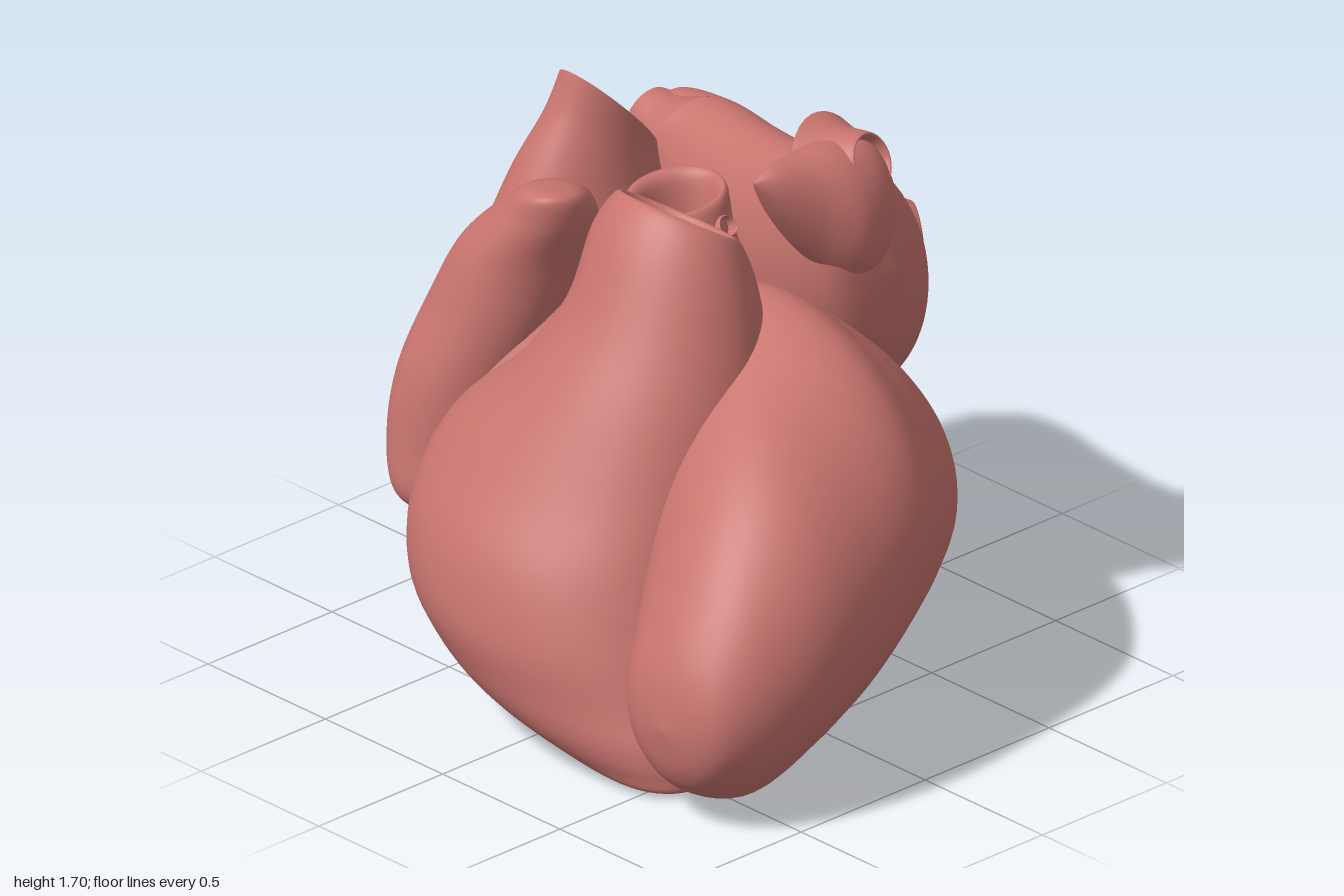
import * as THREE from 'three';
import { mergeVertices } from 'three/addons/utils/BufferGeometryUtils.js';

const muscle = new THREE.MeshStandardMaterial({ color: 0xc8746e, side: THREE.DoubleSide });

// Catmull-Rom blend of four rows of numbers
const blend = (p, q, r, s, u) => q.map((v, k) => {
  const d0 = (r[k] - p[k]) / 2, d1 = (s[k] - v) / 2;
  return v + d0 * u + (3 * (r[k] - v) - 2 * d0 - d1) * u * u + (2 * (v - r[k]) + d0 + d1) * u ** 3;
});

// Smooth skin over oval sections stacked along an axis.
// Row: [position, a0, a1, b0, b1, skew, tilt]; (a, b) is (x, z) for y, (y, z) for x, (x, y) for z.
function loft(name, axis, rows, steps = 7, sides = 64) {
  rows = rows.map((r) => [...r, 0, 0].slice(0, 7));
  const rings = [];
  for (let i = 0; i < rows.length - 1; i++)
    for (let j = 0; j < steps; j++)
      rings.push(blend(rows[Math.max(i - 1, 0)], rows[i], rows[i + 1], rows[Math.min(i + 2, rows.length - 1)], j / steps));
  rings.push(rows.at(-1));

  const pos = [], index = [];
  const flip = (axis === 'y') !== (rows.at(-1)[0] < rows[0][0]);
  rings.forEach(([t, a0, a1, b0, b1, skew, tilt], i) => {
    for (let j = 0; j < sides; j++) {
      const w = (j / sides) * Math.PI * 2;
      const da = Math.cos(w) * (a1 - a0) / 2;
      const db = Math.sin(w) * (b1 - b0) / 2 + skew * da;
      const a = (a0 + a1) / 2 + da, b = (b0 + b1) / 2 + db, c = t + tilt * db;
      pos.push(...(axis === 'y' ? [a, c, b] : axis === 'x' ? [c, a, b] : [a, b, c]));
      if (i === rings.length - 1) continue;
      const k = (j + 1) % sides, p = i * sides + j, q = i * sides + k;
      const quad = [p, q, q + sides, p, q + sides, p + sides];
      index.push(...(flip ? quad.reverse() : quad));
    }
  });
  const g = new THREE.BufferGeometry();
  g.setAttribute('position', new THREE.Float32BufferAttribute(pos, 3));
  g.setIndex(index);
  const geometry = mergeVertices(g, 1e-5);
  geometry.computeVertexNormals();
  const mesh = new THREE.Mesh(geometry, muscle);
  mesh.name = name;
  return mesh;
}

// Short vessel stump with a rounded, open mouth and a wide flared foot
function vessel(name, r, mouth, direction, length = 0.16) {
  const profile = new THREE.SplineCurve([
    [2.1, -length], [1.45, -length * 0.55], [1.18, -length * 0.2], [1, 0], [0.86, -0.02], [0.78, -length * 0.5], [0.7, -length],
  ].map(([s, y]) => new THREE.Vector2(s * r, y))).getPoints(28);
  const mesh = new THREE.Mesh(new THREE.LatheGeometry(profile, 32), muscle);
  mesh.position.set(...mouth);
  mesh.quaternion.setFromUnitVectors(new THREE.Vector3(0, 1, 0), new THREE.Vector3(...direction).normalize());
  mesh.name = name;
  return mesh;
}

export function createModel() {
  const heart = new THREE.Group();
  heart.name = 'heart';

  // Left ventricle: sections from the rear base to the front apex
  heart.add(loft('leftVentricle', 'z', [
    [-0.68, 0.16, 0.16, 0.67, 0.67],
    [-0.66, -0.02, 0.36, 0.53, 0.80, -0.1],
    [-0.60, -0.12, 0.49, 0.45, 0.90, -0.2],
    [-0.48, -0.20, 0.63, 0.37, 1.02, -0.2],
    [-0.33, -0.24, 0.75, 0.31, 1.14, -0.2],
    [-0.15, -0.22, 0.86, 0.24, 1.24, -0.2],
    [0.10, -0.06, 0.95, 0.16, 1.14, -0.2],
    [0.35, 0.18, 1.00, 0.09, 1.00, -0.15],
    [0.55, 0.36, 0.99, 0.045, 0.82, -0.1],
    [0.70, 0.47, 0.94, 0.10, 0.62],
    [0.77, 0.57, 0.86, 0.19, 0.48],
    [0.80, 0.72, 0.72, 0.33, 0.33],
  ]));

  // Right ventricle: hollow outflow mouth, then the outer wall down to the tip
  heart.add(loft('rightVentricle', 'y', [
    [1.22, -0.02, -0.02, 0.05, 0.05],
    [1.24, -0.16, 0.12, -0.05, 0.14, 0, 0.4],
    [1.40, -0.19, 0.15, -0.07, 0.14, 0, 0.55],
    [1.48, -0.21, 0.16, -0.09, 0.15, 0, 0.6],
    [1.48, -0.24, 0.20, -0.12, 0.18, 0, 0.6],
    [1.37, -0.29, 0.26, -0.16, 0.26, 0, 0.5],
    [1.18, -0.31, 0.33, -0.17, 0.38, 0, 0.25],
    [1.00, -0.42, 0.38, -0.18, 0.52, 0, 0.1],
    [0.80, -0.63, 0.41, -0.18, 0.67, 0.05],
    [0.60, -0.70, 0.45, -0.16, 0.79, 0.08],
    [0.40, -0.69, 0.52, -0.14, 0.84, 0.1],
    [0.25, -0.60, 0.58, -0.06, 0.82, 0.12],
    [0.15, -0.42, 0.62, 0.09, 0.79, 0.12],
    [0.07, -0.10, 0.63, 0.26, 0.74, 0.1],
    [0.02, 0.28, 0.61, 0.44, 0.69],
    [0.00, 0.50, 0.50, 0.58, 0.58],
  ]));

  // Three pocket-shaped cusps inside the outflow mouth
  const valve = new THREE.Group();
  valve.name = 'outflowValve';
  for (let i = 0; i < 3; i++) {
    const w = (i / 3) * Math.PI * 2 + Math.PI / 6;
    const cusp = new THREE.Mesh(new THREE.SphereGeometry(0.08, 24, 10, 0, Math.PI * 2, Math.PI / 2, Math.PI / 2), muscle);
    cusp.name = 'valveCusp';
    cusp.position.set(Math.cos(w) * 0.08, 0, Math.sin(w) * 0.055);
    valve.add(cusp);
  }
  valve.position.set(-0.02, 1.35, 0.04);
  valve.rotation.x = -0.45;
  heart.add(valve);

  // Right atrium: open upper vein, rounded chamber, open lower vein
  heart.add(loft('rightAtrium', 'y', [
    [1.53, -0.76, -0.49, -0.42, -0.10, 0.1, 1.05],
    [1.42, -0.79, -0.48, -0.44, -0.05, 0.05, 0.75],
    [1.28, -0.85, -0.45, -0.48, 0.06, 0, 0.35],
    [1.10, -0.92, -0.38, -0.50, 0.18],
    [0.90, -0.98, -0.28, -0.49, 0.28, -0.1],
    [0.70, -1.00, -0.22, -0.47, 0.36, -0.15],
    [0.50, -0.97, -0.22, -0.44, 0.41, -0.15],
    [0.35, -0.89, -0.26, -0.43, 0.43, -0.1, -0.12],
    [0.26, -0.82, -0.34, -0.42, 0.38, 0, -0.22],
    [0.26, -0.80, -0.45, -0.44, 0.20, 0, -0.32],
    [0.31, -0.81, -0.56, -0.43, -0.12, 0, -0.5],
    [0.36, -0.79, -0.58, -0.41, -0.15, 0, -0.5],
  ]));

  // Ear-like flap spread over the front of the right atrium
  heart.add(loft('rightAuricle', 'y', [
    [1.47, -0.41, -0.41, 0.17, 0.17],
    [1.45, -0.53, -0.36, 0.05, 0.22],
    [1.36, -0.66, -0.36, -0.06, 0.24, 0.1],
    [1.20, -0.82, -0.41, -0.14, 0.28],
    [1.00, -0.91, -0.47, -0.12, 0.33],
    [0.80, -0.95, -0.53, -0.06, 0.39, -0.1],
    [0.60, -0.95, -0.58, 0.04, 0.42, -0.1],
    [0.43, -0.88, -0.62, 0.16, 0.43, -0.1],
    [0.35, -0.76, -0.76, 0.32, 0.32],
  ]));

  // Left atrium lying across the back
  heart.add(loft('leftAtrium', 'x', [
    [-0.77, 1.28, 1.28, -0.60, -0.60],
    [-0.74, 1.12, 1.42, -0.72, -0.51],
    [-0.58, 0.98, 1.44, -0.80, -0.46],
    [-0.32, 0.82, 1.46, -0.79, -0.38, 0.05],
    [-0.10, 0.75, 1.50, -0.77, -0.34, 0.12],
    [0.08, 0.75, 1.56, -0.76, -0.31, 0.18],
    [0.20, 0.82, 1.58, -0.73, -0.31, 0.2],
    [0.29, 0.98, 1.50, -0.67, -0.36, 0.2],
    [0.33, 1.25, 1.25, -0.52, -0.52],
  ]));

  // Pointed flap of the left atrium
  heart.add(loft('leftAuricle', 'z', [
    [-0.64, 0.16, 0.16, 1.40, 1.40],
    [-0.55, 0.02, 0.30, 1.20, 1.61],
    [-0.40, 0.03, 0.35, 1.22, 1.65, -0.15],
    [-0.27, 0.07, 0.29, 1.34, 1.65, -0.1],
    [-0.16, 0.12, 0.23, 1.49, 1.65],
    [-0.09, 0.17, 0.17, 1.62, 1.62],
  ]));

  // Vein stumps on both ends of the left atrium
  [
    ['upperLeftVein', 0.085, [0.26, 1.59, -0.49], [0.8, 0.4, -0.2]],
    ['lowerLeftVein', 0.10, [0.13, 1.20, -0.79], [0.5, 0.05, -0.85]],
    ['upperRightVein', 0.075, [-0.79, 1.36, -0.57], [-0.9, 0.3, 0]],
    ['lowerRightVein', 0.085, [-0.69, 1.19, -0.70], [-0.8, -0.1, -0.6]],
  ].forEach((v) => heart.add(vessel(...v)));

  // Cut root of the main artery, with a stepped inner wall and a closed floor
  heart.add(loft('arteryRoot', 'y', [
    [1.08, -0.22, -0.22, -0.17, -0.17],
    [1.10, -0.32, -0.12, -0.27, -0.07],
    [1.30, -0.33, -0.14, -0.28, -0.06, 0, -0.1],
    [1.40, -0.35, -0.13, -0.30, -0.04, 0, -0.1],
    [1.41, -0.39, -0.10, -0.33, -0.02, 0, -0.1],
    [1.30, -0.38, -0.06, -0.33, -0.01],
    [1.10, -0.36, 0.02, -0.36, 0.02],
    [0.80, -0.42, 0.10, -0.40, 0.08],
  ]));
  heart.add(vessel('coronaryOpening', 0.03, [-0.06, 1.36, -0.21], [0.8, 0.6, 0], 0.06));

  return heart;
}
